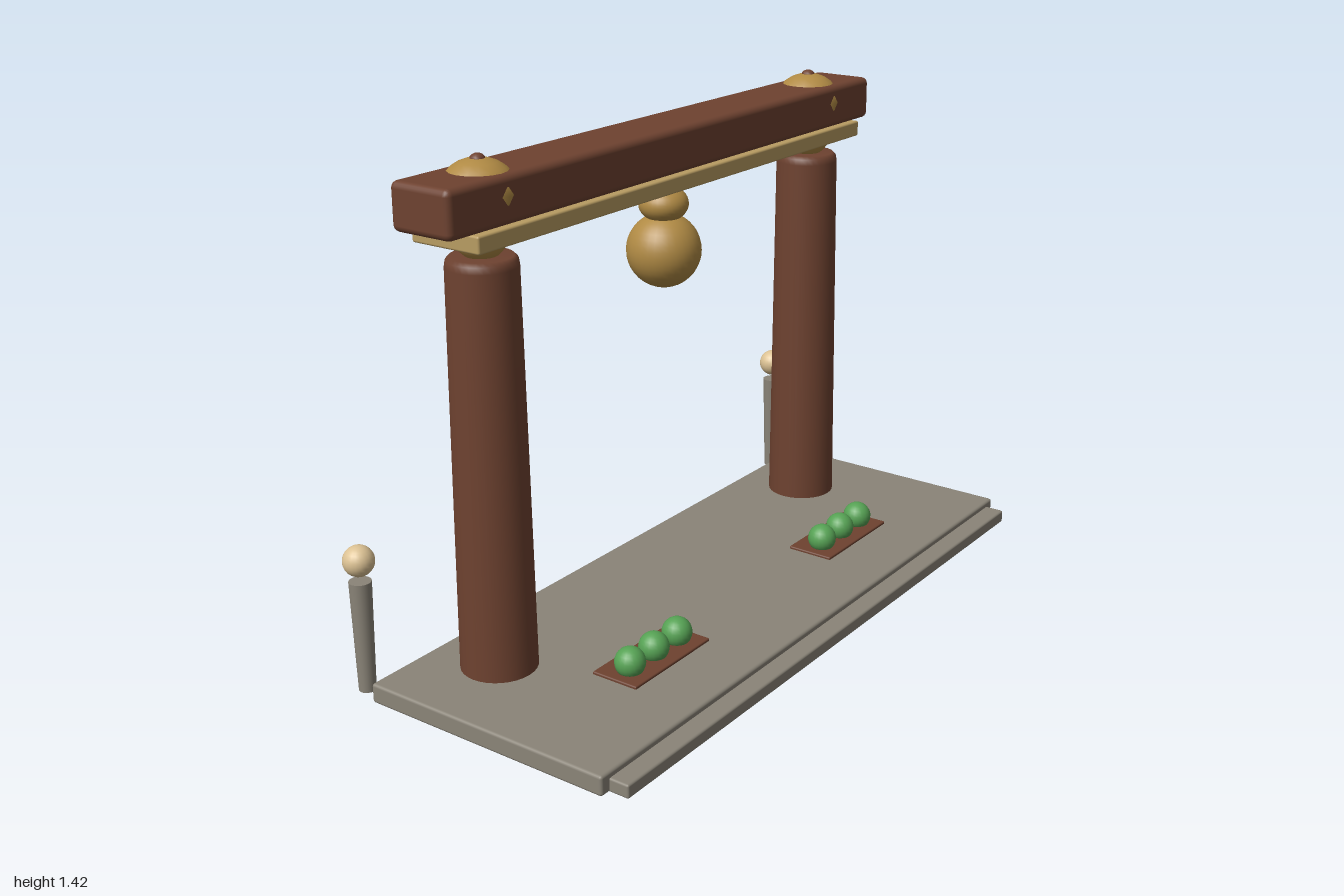
import * as THREE from 'three';
import { RoundedBoxGeometry } from 'three/addons/geometries/RoundedBoxGeometry.js';

const material = (color) => new THREE.MeshStandardMaterial({ color });

export function createModel() {
  const model = new THREE.Group();
  const wood = material(0x6e4230);
  const gold = material(0xb08a44);
  const paleGold = material(0xb89c62);
  const stone = material(0x8a8478);
  const green = material(0x56a254);
  const cream = material(0xdcc294);
  const gateZ = -0.157;

  function add(name, geometry, mat, x, y, z) {
    const mesh = new THREE.Mesh(geometry, mat);
    mesh.name = name;
    mesh.position.set(x, y, z);
    model.add(mesh);
    return mesh;
  }
  const box = (w, h, d, r) => new RoundedBoxGeometry(w, h, d, 2, r);
  const ellipsoid = (rx, ry, ws = 32, hs = 20) => new THREE.SphereGeometry(rx, ws, hs).scale(1, ry / rx, 1);

  // Stone platform and front step
  add('platform', box(2, 0.055, 0.756, 0.008), stone, 0, 0.0375, 0.022);
  add('frontStep', box(1.94, 0.038, 0.1, 0.006), stone, 0, 0.029, 0.406);

  // Crossbeam with its lower plate
  add('crossbeam', box(1.87, 0.124, 0.188, 0.018), wood, 0, 1.323, gateZ);
  add('beamPlate', box(1.71, 0.046, 0.216, 0.006), paleGold, 0, 1.24, gateZ);

  // Hanging bell
  add('bellCrown', ellipsoid(0.07, 0.052), gold, 0, 1.158, gateZ);
  add('bell', ellipsoid(0.105, 0.105), gold, 0, 1.027, gateZ);

  // Tapered pillar with softened ends
  const pillarProfile = [
    [0, 0.003], [0.07, 0.003], [0.092, 0.012], [0.103, 0.04],
    [0.092, 1.15], [0.089, 1.167], [0.08, 1.176], [0, 1.176],
  ].map(([r, y]) => new THREE.Vector2(r, y));

  for (const side of [-1, 1]) {
    const prefix = side > 0 ? 'left' : 'right';
    const x = side * 0.731;
    add(prefix + 'Pillar', new THREE.LatheGeometry(pillarProfile, 32), wood, x, 0, gateZ);

    // Brass joint below the plate and cap through the beam
    add(prefix + 'PillarJoint', ellipsoid(0.073, 0.08), gold, x, 1.242, gateZ);
    add(prefix + 'PillarCap', ellipsoid(0.098, 0.083, 16, 12), gold, x, 1.333, gateZ);
    add(prefix + 'CapStud', ellipsoid(0.02, 0.015, 12, 8), wood, x, 1.411, gateZ);

    // Planter tray with three round shrubs
    add(prefix + 'Tray', box(0.325, 0.025, 0.142, 0.004), wood, side * 0.469, 0.06, 0.146);
    for (let i = -1; i <= 1; i++) {
      add(prefix + 'Shrub', ellipsoid(0.042, 0.042, 20, 14), green, side * 0.469 + i * 0.102, 0.098, 0.152);
    }

    // Lamp post behind the platform
    add(prefix + 'LampPost', new THREE.CylinderGeometry(0.03, 0.023, 0.312, 16), stone, side * 0.955, 0.164, -0.42);
    add(prefix + 'LampGlobe', ellipsoid(0.042, 0.042, 20, 14), cream, side * 0.955, 0.377, -0.42);
  }
  return model;
}
